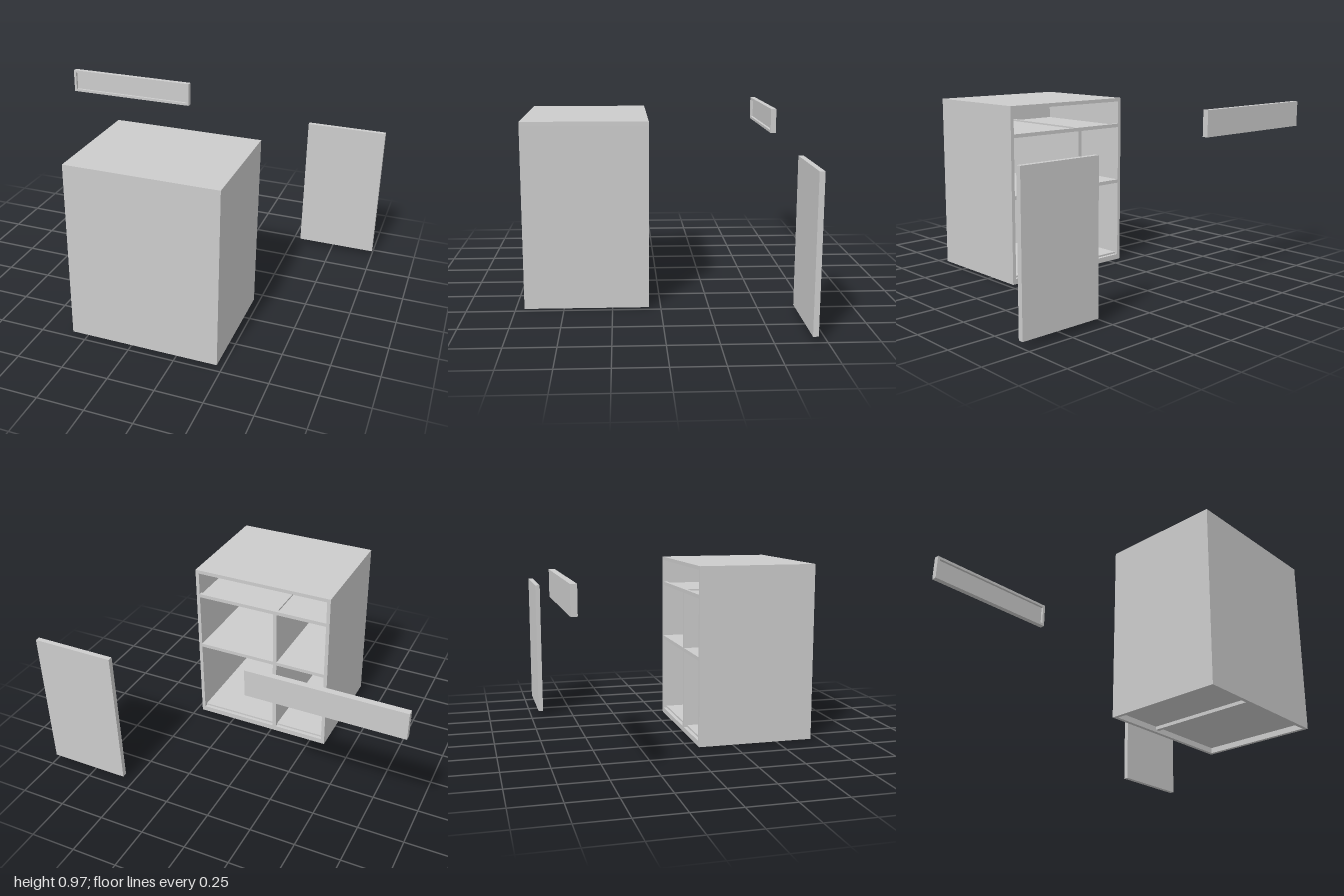
import * as THREE from 'three';

const material = new THREE.MeshStandardMaterial({ color: 0xcccccc, flatShading: true });

// Box given by its limits on each axis
function panel(parent, name, [x0, x1], [y0, y1], [z0, z1]) {
  const mesh = new THREE.Mesh(new THREE.BoxGeometry(x1 - x0, y1 - y0, z1 - z0), material);
  mesh.name = name;
  mesh.position.set((x0 + x1) / 2, (y0 + y1) / 2, (z0 + z1) / 2);
  parent.add(mesh);
}

function group(parent, name) {
  const g = new THREE.Group();
  g.name = name;
  parent.add(g);
  return g;
}

export function createModel() {
  const model = new THREE.Group();
  model.name = 'cabinet';

  // Outer shell, open towards -z
  const t = 0.02;
  const L = -0.34, R = 0.467, H = 0.97, B = 0.06, F = 0.705;
  const inX = [L + t, R - t], depth = [B, F - t];
  const carcass = group(model, 'carcass');
  panel(carcass, 'topPanel', [L, R], [H - t, H], [B, F]);
  panel(carcass, 'closedPanel', [L, R], [0, H - t], [F - t, F]);
  panel(carcass, 'rightSide', [L, L + t], [0, H - t], depth);
  panel(carcass, 'leftSide', [R - t, R], [0, H - t], depth);

  // Upright divider, off centre
  const divider = [-0.03, -0.008];
  panel(carcass, 'divider', divider, [0.012, 0.82], depth);

  // Rails along the open side
  panel(carcass, 'bottomRail', inX, [0, 0.03], [B, B + t]);
  panel(carcass, 'drawerRail', inX, [0.8, 0.82], [B, B + t]);

  // Floor and shelves in each bay
  const bays = [[inX[0], divider[0]], [divider[1], inX[1]]];
  for (const bay of bays) {
    panel(carcass, 'floor', bay, [0.03, 0.04], [B + t, F - t]);
    panel(carcass, 'shelf', bay, [0.468, 0.488], depth);
    panel(carcass, 'drawerShelf', bay, [0.8, 0.811], [B + t, F - t]);
  }

  // Detached door
  panel(model, 'door', [0.55, 1], [0.03, 0.805], [-0.705, -0.678]);

  // Detached drawer front: thin plate with a raised rim facing +z
  const drawer = group(model, 'drawerFront');
  const dx = [-1, -0.21], dy = [0.82, 0.96], rim = 0.015, rz = [-0.69, -0.674];
  panel(drawer, 'plate', dx, dy, [-0.705, -0.69]);
  for (const x of [dx[0], dx[1] - rim]) panel(drawer, 'endRim', [x, x + rim], dy, rz);
  for (const y of [dy[0], dy[1] - rim]) {
    panel(drawer, 'longRim', [dx[0] + rim, dx[1] - rim], [y, y + rim], rz);
  }

  return model;
}
